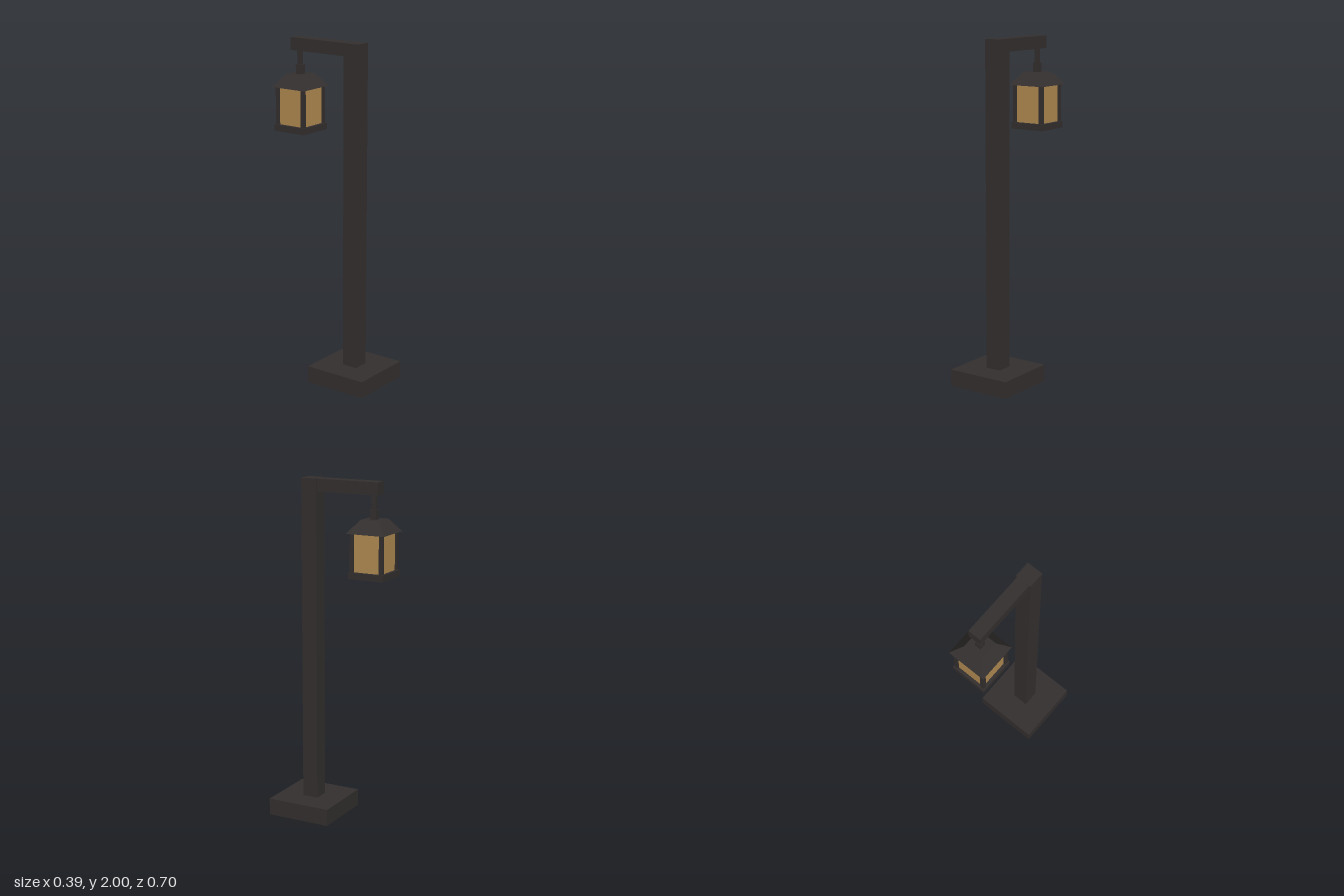
import * as THREE from 'three';

const iron = new THREE.MeshStandardMaterial({ color: 0x34302f, flatShading: true });
const amber = new THREE.MeshStandardMaterial({ color: 0xb48d53, flatShading: true });

export function createModel() {
  const model = new THREE.Group();
  model.name = 'streetLantern';

  // Box given by its size, centre x/z and bottom y
  const box = (parent, name, [w, h, d], [x, y, z], material = iron) => {
    const mesh = new THREE.Mesh(new THREE.BoxGeometry(w, h, d), material);
    mesh.name = name;
    mesh.position.set(x, y + h / 2, z);
    parent.add(mesh);
    return mesh;
  };

  // Foot, post and overhanging arm
  box(model, 'base', [0.39, 0.1, 0.39], [0, 0, 0.156]);
  box(model, 'post', [0.096, 1.9, 0.096], [0, 0.1, 0.156]);
  box(model, 'arm', [0.077, 0.073, 0.385], [0, 1.926, -0.082]);

  // Lantern hanging near the end of the arm
  const lantern = new THREE.Group();
  lantern.name = 'lantern';
  lantern.position.set(0, 0, -0.236);
  model.add(lantern);

  box(lantern, 'hangerRod', [0.024, 0.09, 0.024], [0, 1.84, 0]);
  box(lantern, 'hangerCollar', [0.037, 0.056, 0.037], [0, 1.787, 0]);
  box(lantern, 'floor', [0.216, 0.038, 0.216], [0, 1.46, 0]);
  box(lantern, 'glass', [0.18, 0.22, 0.18], [0, 1.497, 0], amber);

  // Corner posts
  for (const x of [-1, 1]) {
    for (const z of [-1, 1]) {
      box(lantern, 'cornerPost', [0.022, 0.22, 0.022], [x * 0.09, 1.497, z * 0.09]);
    }
  }

  // Four-sided roof with a flat top
  const roofShape = new THREE.CylinderGeometry(0.0585 * Math.SQRT2, 0.1165 * Math.SQRT2, 0.074, 4);
  roofShape.rotateY(Math.PI / 4);
  const roof = new THREE.Mesh(roofShape, iron);
  roof.name = 'roof';
  roof.position.y = 1.752;
  lantern.add(roof);

  return model;
}
